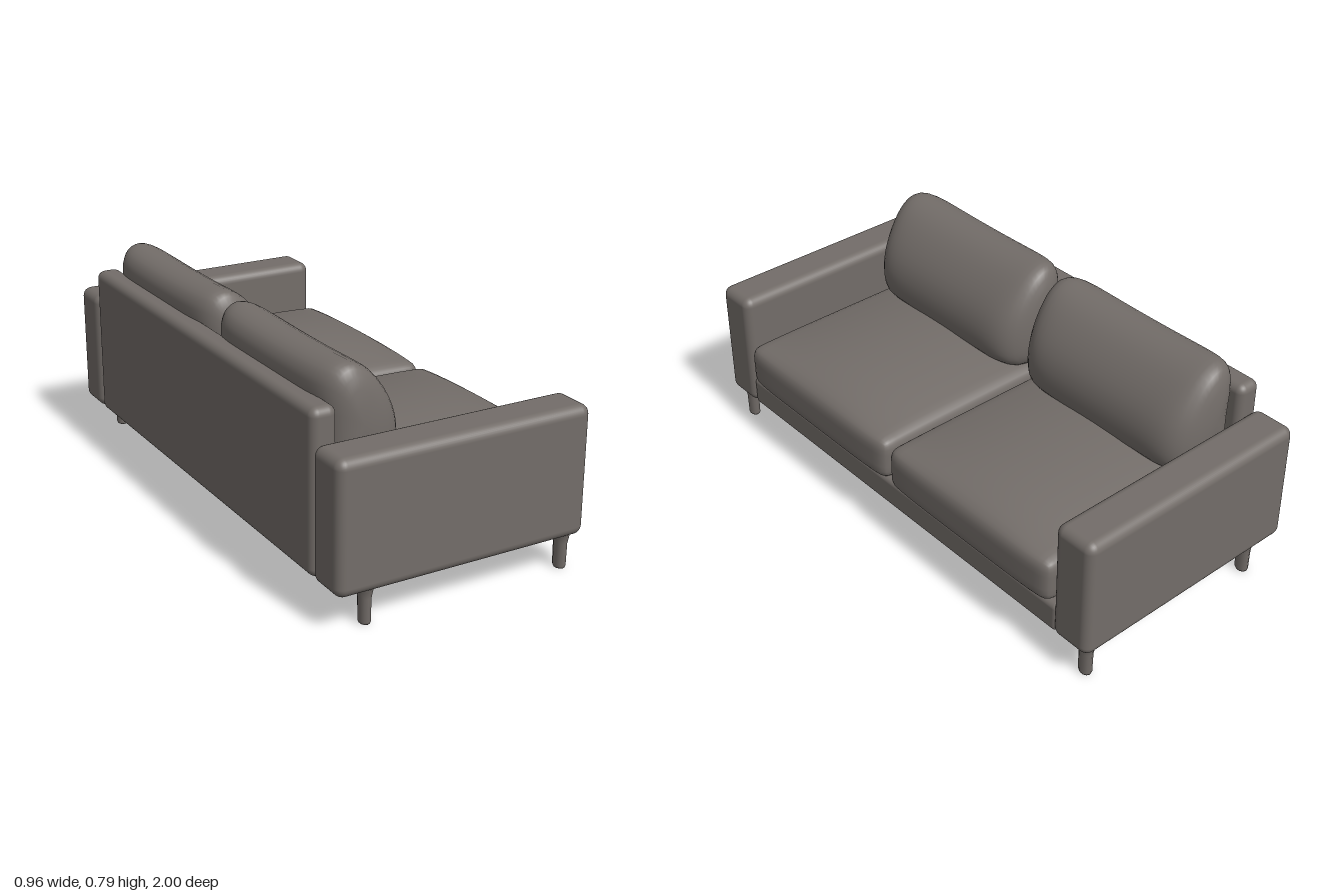
import * as THREE from 'three';
import { mergeVertices } from 'three/addons/utils/BufferGeometryUtils.js';
import { RoundedBoxGeometry } from 'three/addons/geometries/RoundedBoxGeometry.js';

const fabric = new THREE.MeshStandardMaterial({ color: 0x736d69 });
fabric.name = 'warm grey';

function add(parent, name, geometry, x = 0, y = 0, z = 0) {
  const mesh = new THREE.Mesh(geometry, fabric);
  mesh.name = name;
  mesh.position.set(x, y, z);
  parent.add(mesh);
  return mesh;
}

// Rounded box given by its extents
function block(parent, name, [x0, x1], [y0, y1], [z0, z1], r) {
  const g = new RoundedBoxGeometry(x1 - x0, y1 - y0, z1 - z0, 4, r);
  return add(parent, name, g, (x0 + x1) / 2, (y0 + y1) / 2, (z0 + z1) / 2);
}

// Seat cushion: finely divided box with rounded edges and a domed top
function seatCushionGeometry(w, h, d, r, crown) {
  const box = new THREE.BoxGeometry(2, 2, 2, 24, 10, 24);
  box.deleteAttribute('uv');
  box.deleteAttribute('normal');
  const g = mergeVertices(box);
  const pos = g.attributes.position;
  const half = new THREE.Vector3(w / 2, h / 2, d / 2);
  const inner = half.clone().subScalar(r);
  const p = new THREE.Vector3(), q = new THREE.Vector3();
  const crowd = t => Math.sign(t) * (1 - (1 - Math.abs(t)) ** 1.7);
  for (let i = 0; i < pos.count; i++) {
    p.fromBufferAttribute(pos, i);
    p.set(crowd(p.x), crowd(p.y), crowd(p.z)).multiply(half);
    q.copy(p).clamp(inner.clone().negate(), inner);
    p.sub(q).setLength(r).add(q);
    const u = p.x / half.x, v = p.z / half.z;
    const dome = (1 - u ** 4) * (1 - v * v);
    if (p.y > 0) p.y += crown * dome * (p.y / half.y);
    p.x += 0.012 * Math.max(0, u) * (1 - v ** 6);
    pos.setXYZ(i, p.x, p.y, p.z);
  }
  g.computeVertexNormals();
  return g;
}

// Back cushion: plump side profile lofted along z and drawn in at both ends
function backCushionGeometry(length) {
  const profile = new THREE.CatmullRomCurve3([
    [-0.385, 0.42], [-0.405, 0.6], [-0.412, 0.73], [-0.385, 0.78], [-0.325, 0.8],
    [-0.25, 0.775], [-0.18, 0.71], [-0.125, 0.62], [-0.105, 0.53], [-0.12, 0.45],
    [-0.17, 0.41], [-0.28, 0.4],
  ].map(([x, y]) => new THREE.Vector3(x, y, 0)), true);
  const n = 36, stations = 32, cx = -0.285, cy = 0.6;
  const ring = profile.getPoints(n).slice(0, n);
  const verts = [], index = [];
  for (let i = 0; i <= stations; i++) {
    const t = Math.sin((i / stations - 0.5) * Math.PI);
    const sx = Math.sqrt(Math.max(0, 1 - Math.abs(t) ** 8));
    const sy = Math.sqrt(Math.max(0, 1 - Math.abs(t) ** 22));
    const dip = 0.012 * (1 - t * t);
    for (const p of ring) {
      const y = cy + (p.y - cy) * sy;
      verts.push(cx + (p.x - cx) * sx, y - (p.y > cy ? dip * (p.y - cy) / 0.2 : 0), t * length / 2);
    }
  }
  for (let i = 0; i < stations; i++) {
    for (let j = 0; j < n; j++) {
      const k = (j + 1) % n;
      const a = i * n + j, b = i * n + k, c = a + n, d = b + n;
      index.push(a, c, b, b, c, d);
    }
  }
  let g = new THREE.BufferGeometry();
  g.setAttribute('position', new THREE.Float32BufferAttribute(verts, 3));
  g.setIndex(index);
  g = mergeVertices(g);
  g.computeVertexNormals();
  return g;
}

export function createModel() {
  const sofa = new THREE.Group();
  sofa.name = 'sofa';

  // Frame
  block(sofa, 'base', [-0.46, 0.452], [0.125, 0.24], [-0.85, 0.85], 0.02);
  block(sofa, 'backrest', [-0.478, -0.385], [0.125, 0.692], [-0.838, 0.838], 0.03);

  const seat = seatCushionGeometry(0.856, 0.165, 0.82, 0.04, 0.055);
  const back = backCushionGeometry(0.82);
  for (const s of [1, -1]) {
    const side = s > 0 ? 'left' : 'right';
    const zRange = s > 0 ? [0.835, 1] : [-1, -0.835];
    block(sofa, side + 'Arm', [-0.48, 0.46], [0.125, 0.584], zRange, 0.034);

    // Cushions
    add(sofa, side + 'SeatCushion', seat, 0.04, 0.32, s * 0.417);
    add(sofa, side + 'BackCushion', back, 0, 0, s * 0.417);

    // Legs, flared where they meet the frame
    for (const [name, x] of [['FrontLeg', 0.405], ['BackLeg', -0.353]]) {
      const points = [[0, 0], [0.017, 0], [0.02, 0.008], [0.021, 0.09], [0.025, 0.115], [0.03, 0.14]];
      const g = new THREE.LatheGeometry(points.map(([r, y]) => new THREE.Vector2(r, y)), 10);
      add(sofa, side + name, g, x, 0, s * 0.945).scale.z = 1.3;
    }
  }
  return sofa;
}
